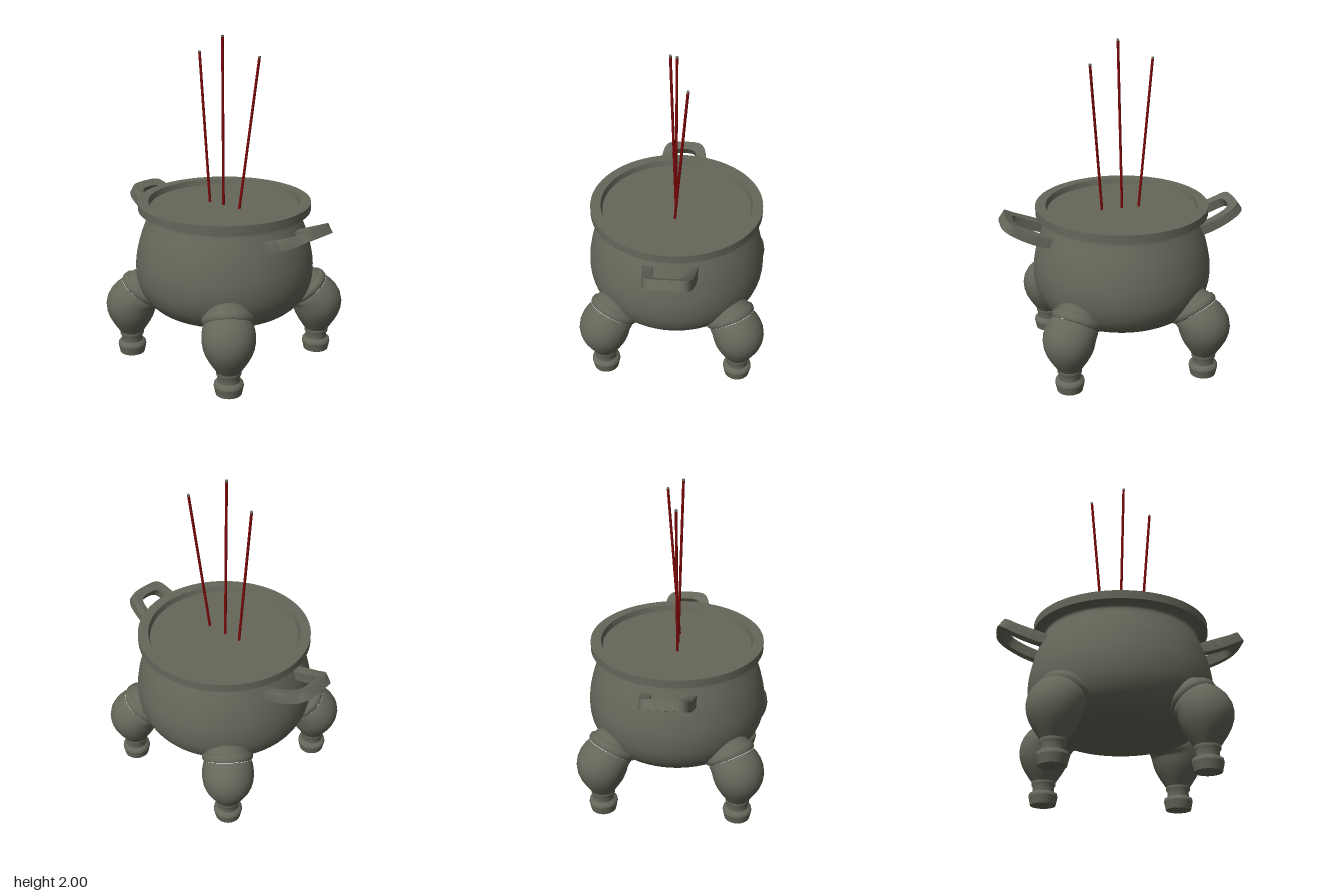
import * as THREE from 'three';
import { toCreasedNormals } from 'three/addons/utils/BufferGeometryUtils.js';

const bronze = new THREE.MeshStandardMaterial({ color: 0x66665a });
bronze.name = 'bronze';
const red = new THREE.MeshStandardMaterial({ color: 0x7d0808 });
red.name = 'incense red';
const grey = new THREE.MeshStandardMaterial({ color: 0x77776f });
grey.name = 'burnt tip grey';

function mesh(name, geometry, material = bronze) {
  const m = new THREE.Mesh(geometry, material);
  m.name = name;
  return m;
}

function lathe(points, segments = 64) {
  return new THREE.LatheGeometry(points.map(([r, y]) => new THREE.Vector2(r, y)), segments);
}

// Smooth skin over circular sections: [distance from bowl axis, height, radius, inward tilt in degrees]
function skin(sections, sides = 32) {
  const pos = [], idx = [];
  sections.forEach(([d, y, r, tilt], j) => {
    const t = THREE.MathUtils.degToRad(tilt);
    for (let i = 0; i < sides; i++) {
      const a = (i / sides) * Math.PI * 2;
      const c = Math.cos(a) * r;
      pos.push(d + c * Math.cos(t), y + c * Math.sin(t), Math.sin(a) * r);
      if (j === 0) continue;
      const k = (i + 1) % sides, lo = (j - 1) * sides, hi = j * sides;
      idx.push(lo + i, hi + i, lo + k, lo + k, hi + i, hi + k);
    }
  });
  const g = new THREE.BufferGeometry();
  g.setAttribute('position', new THREE.Float32BufferAttribute(pos, 3));
  g.setIndex(idx);
  g.computeVertexNormals();
  return g;
}

function createBowl() {
  const bowl = new THREE.Group();
  bowl.name = 'bowl';
  const curve = new THREE.SplineCurve([
    [0.38, 0.315], [0.44, 0.345], [0.5, 0.405], [0.537, 0.485], [0.549, 0.57], [0.543, 0.66],
    [0.518, 0.77], [0.485, 0.86], [0.464, 0.915], [0.47, 0.937], [0.495, 0.95],
  ].map(([r, y]) => new THREE.Vector2(r, y)));
  bowl.add(mesh('belly', new THREE.LatheGeometry(curve.getPoints(40), 64)));
  bowl.add(mesh('base', lathe([[0, 0.312], [0.38, 0.315]])));

  // Rim: one band per face so that its edges stay sharp
  const rim = [[0.46, 0.95], [0.528, 0.95], [0.528, 1.0], [0.465, 1.0], [0.455, 0.965]];
  for (let i = 0; i < rim.length - 1; i++) {
    bowl.add(mesh('rimFace', lathe([rim[i], rim[i + 1]])));
  }
  const ash = mesh('ashSurface', new THREE.CircleGeometry(0.458, 64));
  ash.rotation.x = -Math.PI / 2;
  ash.position.y = 0.966;
  bowl.add(ash);
  return bowl;
}

function createLeg() {
  const leg = new THREE.Group();
  leg.name = 'leg';
  const d = 0.587;
  leg.add(mesh('sole', skin([[d, 0, 0, 0], [d, 0, 0.077, 0]])));
  leg.add(mesh('foot', skin([[d, 0, 0.077, 0], [d, 0.052, 0.088, 0]])));
  leg.add(mesh('footTop', skin([
    [d, 0.052, 0.088, 0], [d, 0.07, 0.085, 0], [d, 0.08, 0.066, 0],
  ])));
  leg.add(mesh('ankle', skin([
    [d, 0.08, 0.066, 0], [d, 0.112, 0.065, 0], [d, 0.122, 0.073, 0],
    [d, 0.138, 0.074, 0], [d, 0.146, 0.07, 0],
  ])));
  leg.add(mesh('bulb', skin([
    [d, 0.142, 0.073, 0], [d, 0.17, 0.091, 0], [d, 0.205, 0.114, 0], [d, 0.245, 0.136, 0],
    [d, 0.285, 0.15, 1], [d - 0.001, 0.32, 0.156, 5], [0.578, 0.35, 0.157, 13],
    [0.56, 0.375, 0.155, 22], [0.538, 0.393, 0.15, 31], [0.522, 0.404, 0.143, 36],
  ])));
  // Raised ring where the leg meets the belly
  leg.add(mesh('legRing', skin([
    [0.522, 0.404, 0.143, 37], [0.516, 0.408, 0.152, 38], [0.505, 0.418, 0.156, 39],
    [0.492, 0.43, 0.153, 40], [0.486, 0.435, 0.142, 40],
  ])));
  leg.add(mesh('legTop', skin([[0.486, 0.435, 0.142, 40], [0.43, 0.48, 0.12, 42], [0.38, 0.5, 0.0, 45]])));
  return leg;
}

function createHandle() {
  const length = 0.345, thick = 0.06, startAngle = 0.21, bend = 0.4;
  const half = (pts) => new THREE.SplineCurve(pts.map(([x, s]) => new THREE.Vector2(x, s))).getPoints(20);
  const mirrored = (pts) => pts.slice(0, -1).concat(
    pts.slice().reverse().map((p) => new THREE.Vector2(-p.x, p.y)));
  // Flat arch outline, outer then inner
  const outer = mirrored(half([[0.164, 0], [0.16, 0.12], [0.146, 0.24], [0.128, 0.305], [0.09, 0.338], [0, length]]));
  const inner = mirrored(half([[0.102, 0], [0.098, 0.11], [0.088, 0.21], [0.073, 0.262], [0.045, 0.281], [0, 0.285]]));
  const shape = new THREE.Shape(outer.concat(inner.reverse()));
  const g = new THREE.ExtrudeGeometry(shape, { depth: thick, bevelEnabled: false });

  // Bend the arch upwards along a circular arc
  const p = g.attributes.position, R = length / bend;
  for (let i = 0; i < p.count; i++) {
    const a = startAngle + (p.getY(i) / length) * bend;
    const t = thick - p.getZ(i);
    p.setXYZ(i, p.getX(i),
      0.8 + R * (Math.cos(startAngle) - Math.cos(a)) + t * Math.cos(a),
      0.437 + R * (Math.sin(a) - Math.sin(startAngle)) - t * Math.sin(a));
  }
  return mesh('handle', toCreasedNormals(g, 0.6));
}

function createStick(from, to) {
  const stick = new THREE.Group();
  stick.name = 'incenseStick';
  const a = new THREE.Vector3(...from), b = new THREE.Vector3(...to);
  const len = a.distanceTo(b), tip = 0.012;
  const rod = mesh('rod', new THREE.CylinderGeometry(0.008, 0.008, len - tip, 8), red);
  rod.position.y = (len - tip) / 2;
  const end = mesh('burntTip', new THREE.CylinderGeometry(0.008, 0.008, tip, 8), grey);
  end.position.y = len - tip / 2;
  stick.add(rod, end);
  stick.position.copy(a);
  stick.quaternion.setFromUnitVectors(new THREE.Vector3(0, 1, 0), b.sub(a).normalize());
  return stick;
}

export function createModel() {
  const model = new THREE.Group();
  model.name = 'incenseBurner';
  model.add(createBowl());

  for (let i = 0; i < 4; i++) {
    const leg = createLeg();
    leg.rotation.y = Math.PI / 4 + (i * Math.PI) / 2;
    model.add(leg);
  }
  for (const turn of [0, Math.PI]) {
    const handle = createHandle();
    handle.rotation.y = turn;
    model.add(handle);
  }
  model.add(
    createStick([-0.005, 0.95, -0.003], [-0.034, 2.0, 0.015]),
    createStick([-0.013, 0.95, -0.108], [-0.014, 1.89, -0.19]),
    createStick([-0.003, 0.95, 0.122], [0.078, 1.885, 0.204]),
  );
  return model;
}
